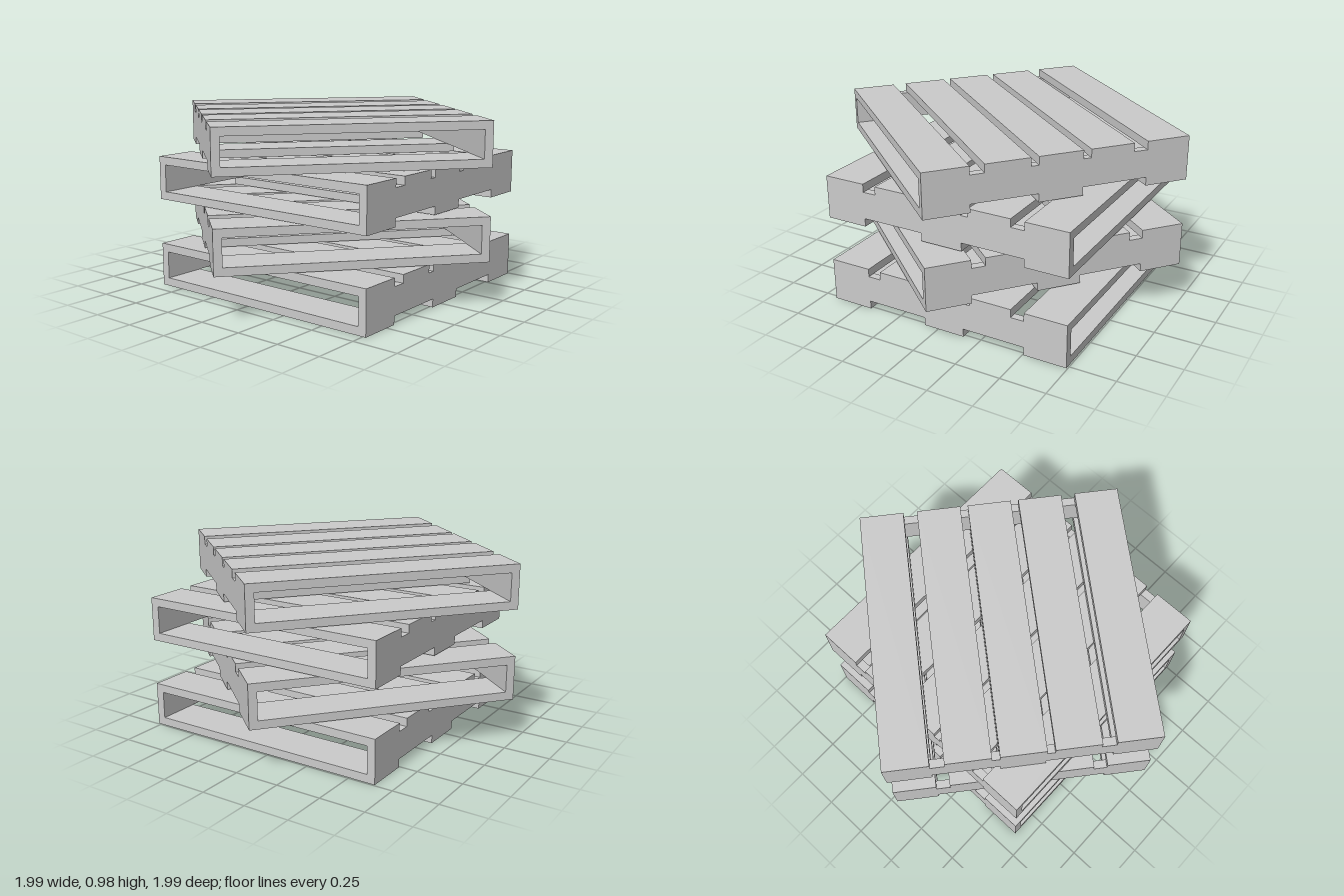
import * as THREE from 'three';

const SIDE = 1.416;      // square footprint of one pallet
const HEIGHT = 0.24;
const BOARD = 0.045;     // thickness of every board
const SLAT = 0.237;      // slat width
const SPACING = 0.2465;  // vertical step of the stack

const material = new THREE.MeshStandardMaterial({ color: 0xcccccc, flatShading: true });

function board(name, w, h, d, x, y, z) {
  const mesh = new THREE.Mesh(new THREE.BoxGeometry(w, h, d), material);
  mesh.name = name;
  mesh.position.set(x, y, z);
  return mesh;
}

function createPallet() {
  const pallet = new THREE.Group();
  const edge = (SIDE - SLAT) / 2;

  // Five deck slats on top
  for (const z of [-edge, -0.278, 0, 0.278, edge]) {
    pallet.add(board('deckSlat', SIDE, BOARD, SLAT, 0, HEIGHT - BOARD / 2, z));
  }
  // Three slats underneath
  for (const z of [-edge, 0, edge]) {
    pallet.add(board('bottomSlat', SIDE, BOARD, SLAT, 0, BOARD / 2, z));
  }
  // Upright runner on each side
  for (const side of [-1, 1]) {
    const x = side * (SIDE - BOARD) / 2;
    pallet.add(board('sideRunner', BOARD, HEIGHT - 2 * BOARD, SIDE, x, HEIGHT / 2, 0));
  }
  return pallet;
}

export function createModel() {
  const stack = new THREE.Group();
  stack.name = 'palletStack';

  // Every second pallet is turned and shifted
  for (let i = 0; i < 4; i++) {
    const pallet = createPallet();
    const turned = i % 2 === 1;
    pallet.name = turned ? 'turnedPallet' : 'straightPallet';
    pallet.position.set(turned ? 0 : 0.06, i * SPACING, turned ? 0 : -0.035);
    pallet.rotation.y = turned ? THREE.MathUtils.degToRad(50) : 0;
    stack.add(pallet);
  }
  return stack;
}
